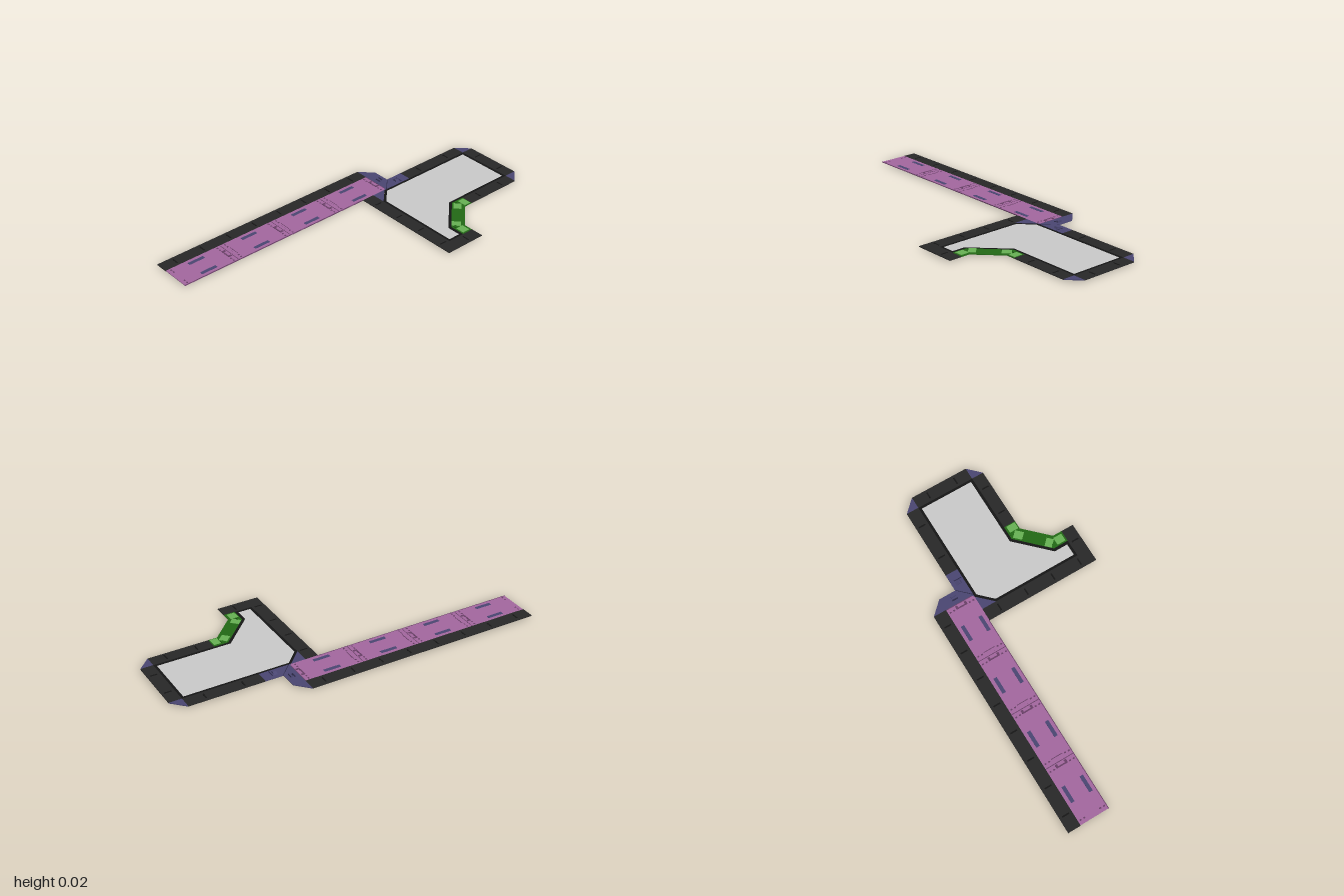
import * as THREE from 'three';

const paint = (color) => new THREE.MeshStandardMaterial({ color, flatShading: true });

export function createModel() {
  const model = new THREE.Group();
  const dark = paint(0x282828), black = paint(0x151515), plum = paint(0xa468a0), plumDark = paint(0x6a4068);
  const indigo = paint(0x4a4672), indigoDark = paint(0x2c2a48);
  const green = paint(0x236a16), lime = paint(0x68b254), grey = paint(0xcccccc);

  // Flat plate: outline of [x, z] corners between two heights
  function plate(name, points, y0, y1, material, parent = model) {
    const shape = new THREE.Shape(points.map(([x, z]) => new THREE.Vector2(x, z)));
    const geo = new THREE.ExtrudeGeometry(shape, { depth: y1 - y0, bevelEnabled: false });
    geo.rotateX(Math.PI / 2).translate(0, y1, 0);
    const mesh = new THREE.Mesh(geo, material);
    mesh.name = name;
    parent.add(mesh);
    return mesh;
  }
  const slab = (name, x0, x1, z0, z1, y0, y1, material, parent) =>
    plate(name, [[x0, z0], [x1, z0], [x1, z1], [x0, z1]], y0, y1, material, parent);

  // Wall strips around the room and along the corridor
  const walls = [
    ['corridorWall', -0.453, -0.38, -0.34, 1],
    ['leftWall', -0.283, -0.212, -0.93, -0.51],
    ['backWall', -0.212, 0.125, -1, -0.93],
    ['rightWall', 0.125, 0.194, -0.93, -0.59],
    ['endWall', 0.376, 0.448, -0.41, -0.245],
    ['frontWall', -0.213, 0.448, -0.245, -0.172],
  ];
  for (const [name, x0, x1, z0, z1] of walls) {
    slab(name, x0, x1, z0, z1, 0.007, 0.011, dark);
    // Shallow joint ribs across each strip
    const alongZ = z1 - z0 > x1 - x0;
    const length = alongZ ? z1 - z0 : x1 - x0;
    const count = Math.max(1, Math.round(length / 0.17));
    for (let i = 0; i < count; i++) {
      const c = (alongZ ? z0 : x0) + (i + 0.5) * length / count;
      if (alongZ) slab('wallRib', (x0 + x1) / 2 - 0.02, (x0 + x1) / 2 + 0.02, c - 0.004, c + 0.004, 0.006, 0.0118, black);
      else slab('wallRib', c - 0.004, c + 0.004, (z0 + z1) / 2 - 0.02, (z0 + z1) / 2 + 0.02, 0.006, 0.0118, black);
    }
  }

  // Room floor with its dark border
  plate('floorBorder', [[-0.212, -0.93], [0.125, -0.93], [0.125, -0.51], [0.29, -0.345], [0.376, -0.345],
    [0.376, -0.245], [-0.13, -0.245], [-0.212, -0.327]], 0.0082, 0.0095, black);
  plate('floor', [[-0.198, -0.916], [0.11, -0.916], [0.11, -0.503], [0.285, -0.328], [0.362, -0.328],
    [0.362, -0.259], [-0.124, -0.259], [-0.198, -0.333]], 0.0078, 0.01, grey);

  // Chamfered corners
  plate('backLeftCorner', [[-0.283, -0.93], [-0.212, -1], [-0.212, -0.93]], 0.007, 0.011, indigo);
  plate('backRightCorner', [[0.125, -1], [0.194, -0.93], [0.125, -0.93]], 0.007, 0.011, indigo);
  plate('innerCorner', [[-0.213, -0.327], [-0.13, -0.245], [-0.213, -0.245]], 0.007, 0.011, indigo);

  // Junction between the corridor and the room
  plate('junction', [[-0.453, -0.34], [-0.38, -0.41], [-0.283, -0.41], [-0.283, -0.51],
    [-0.212, -0.51], [-0.212, -0.327], [-0.225, -0.34]], 0.007, 0.011, indigo);
  const ridge = plate('junctionRidge', [[-0.262, 0.0105], [-0.23, 0.0105], [-0.235, 0.021], [-0.243, 0.021]],
    0, 0.02, indigo);
  ridge.geometry.rotateX(-Math.PI / 2).translate(0, 0, -0.43);
  slab('junctionGroove', -0.262, -0.216, -0.462, -0.457, 0.0105, 0.0118, indigoDark);
  plate('junctionSeam', [[-0.283, -0.41], [-0.279, -0.41], [-0.212, -0.344], [-0.212, -0.338]], 0.0105, 0.0115, indigoDark);

  // Bracket-shaped clip: a bar with two legs
  function clip(z, dir, y0, y1, material) {
    const group = new THREE.Group();
    group.name = 'clip';
    const x = -0.297;
    plate('clipBracket', [[x - 0.033, z], [x - 0.02, z], [x - 0.02, z + dir * 0.013], [x + 0.02, z + dir * 0.013],
      [x + 0.02, z], [x + 0.033, z], [x + 0.033, z + dir * 0.021], [x - 0.033, z + dir * 0.021]], y0, y1, material, group);
    model.add(group);
  }
  slab('raisedClip', -0.323, -0.295, -0.39, -0.382, 0.0105, 0.021, indigo);
  slab('raisedClipLip', -0.325, -0.292, -0.371, -0.363, 0.0105, 0.0125, indigoDark);

  // Corridor floor panels with side slots, end clips and small studs
  const step = 1.338 / 4;
  for (let i = 0; i < 4; i++) {
    const z0 = -0.338 + i * step, z1 = z0 + step, zm = (z0 + z1) / 2;
    slab('corridorPanel', -0.38, -0.213, z0 + 0.002, z1 - 0.002, 0.007, 0.0105, plum);
    slab('panelSeam', -0.38, -0.213, z0 - 0.002, z0 + 0.002, 0.0072, 0.0107, plumDark);
    for (const x of [-0.351, -0.244])
      slab('sideSlot', x - 0.01, x + 0.01, zm - 0.047, zm + 0.047, 0.0045, 0.0112, indigo);
    clip(z0 + 0.006, 1, 0.003, 0.0115, plumDark);
    if (i > 0) clip(z0 - 0.006, -1, 0, 0.0113, plum);
    if (i > 0) slab('clipEdge', -0.33, -0.264, z0 - 0.031, z0 - 0.027, 0.006, 0.0115, plumDark);
    for (const x of [-0.366, -0.344, -0.25, -0.228])
      for (const z of [z0 + 0.024, z1 - 0.024])
        slab('stud', x - 0.005, x + 0.005, z - 0.004, z + 0.004, 0.006, 0.0113, plumDark);
  }
  slab('panelEdge', -0.217, -0.213, -0.17, 1, 0.007, 0.0108, plumDark);

  // Green diagonal door piece
  plate('doorBase', [[0.125, -0.59], [0.194, -0.59], [0.194, -0.54], [0.324, -0.41], [0.376, -0.41],
    [0.376, -0.345], [0.29, -0.345], [0.125, -0.51]], 0.007, 0.011, green);
  const blocks = [
    [0.162, -0.565, 0.052, 0.04, 0], [0.168, -0.51, 0.05, 0.045, Math.PI / 4],
    [0.285, -0.386, 0.04, 0.05, Math.PI / 4], [0.342, -0.375, 0.05, 0.045, 0],
  ];
  for (const [x, z, w, d, turn] of blocks) {
    const pad = new THREE.Mesh(new THREE.BoxGeometry(w, 0.007, d), lime);
    pad.name = 'doorPad';
    pad.position.set(x, 0.0095, z);
    pad.rotation.y = -turn;
    model.add(pad);
  }
  for (const [x, z] of [[0.14, -0.535], [0.303, -0.362]])
    slab('doorLatch', x - 0.011, x + 0.011, z - 0.008, z + 0.008, 0.006, 0.015, green);
  return model;
}
